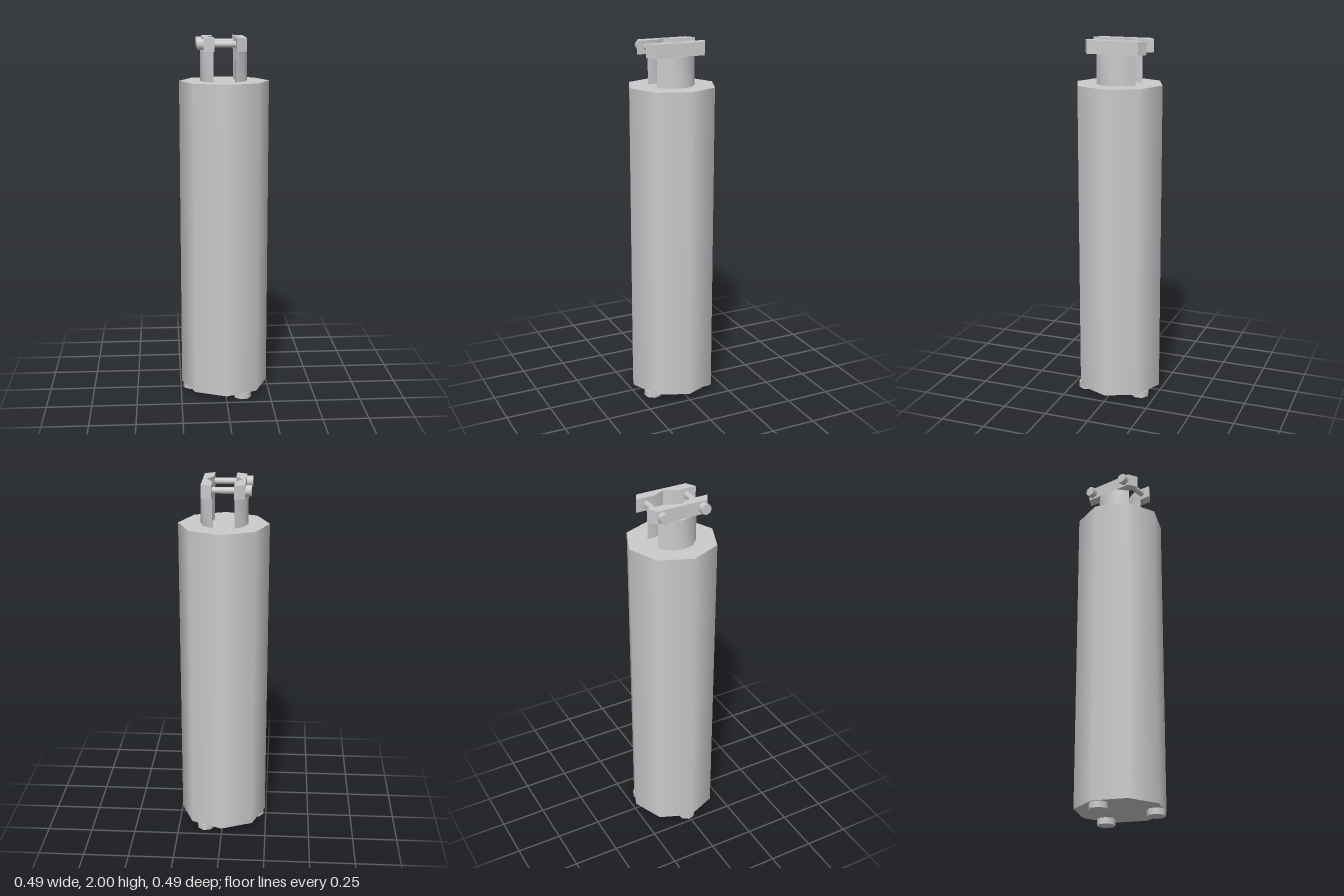
import * as THREE from 'three';
import { toCreasedNormals } from 'three/addons/utils/BufferGeometryUtils.js';

const material = new THREE.MeshStandardMaterial({ color: 0xcccccc });

function addMesh(parent, name, geometry, x = 0, y = 0, z = 0) {
  const mesh = new THREE.Mesh(geometry, material);
  mesh.name = name;
  mesh.position.set(x, y, z);
  parent.add(mesh);
  return mesh;
}

// Extrude an outline in the x-z plane upwards from y = 0
function prism(points, height) {
  const shape = new THREE.Shape(points.map(([x, z]) => new THREE.Vector2(x, -z)));
  const geometry = new THREE.ExtrudeGeometry(shape, { depth: height, bevelEnabled: false });
  geometry.rotateX(-Math.PI / 2);
  return toCreasedNormals(geometry, 0.9);
}

export function createModel() {
  const model = new THREE.Group();
  model.name = 'canisterWithClamp';

  const bodyBottom = 0.034, bodyTop = 1.765, jawBottom = 1.928;

  // Eight-sided body with smooth sides
  addMesh(model, 'body', new THREE.CylinderGeometry(0.244, 0.244, bodyTop - bodyBottom, 8),
    0, (bodyTop + bodyBottom) / 2, 0);

  // Three feet spaced evenly under the body
  for (let i = 0; i < 3; i++) {
    const a = Math.PI / 3 + i * Math.PI * 2 / 3;
    const foot = addMesh(model, 'foot', new THREE.CylinderGeometry(0.05, 0.05, bodyBottom, 8),
      0.187 * Math.cos(a), bodyBottom / 2, 0.187 * Math.sin(a));
    foot.rotation.y = THREE.MathUtils.degToRad(-13);
  }

  // Split clamp: each half has a curved neck shell and a jaw
  const clamp = new THREE.Group();
  clamp.name = 'clamp';
  clamp.position.x = -0.0035;
  model.add(clamp);

  const inner = [[0.0585, -0.068], [0.0935, 0], [0.0585, 0.068]];
  const outer = [60, 30, 0, -30, -60].map((deg) => {
    const a = THREE.MathUtils.degToRad(deg);
    return [0.127 * Math.cos(a), 0.127 * Math.sin(a)];
  });
  outer[0][0] = outer[4][0] = 0.0585;
  const neckGeometry = prism([...inner, ...outer], jawBottom - bodyTop);
  const jawGeometry = prism([...inner, [0.0585, 0.172], [0.1135, 0.142],
    [0.1135, -0.142], [0.0585, -0.172]], 2 - jawBottom);

  for (const side of ['left', 'right']) {
    const half = new THREE.Group();
    half.name = side + 'ClampHalf';
    half.rotation.y = side === 'left' ? 0 : Math.PI;
    addMesh(half, 'neckShell', neckGeometry, 0, bodyTop, 0);
    addMesh(half, 'jaw', jawGeometry, 0, jawBottom, 0);
    clamp.add(half);
  }

  // Two bolts across the jaws, heads on the right side
  for (const z of [-0.113, 0.118]) {
    const bolt = new THREE.Group();
    bolt.name = 'clampBolt';
    bolt.position.set(0, 1.965, z);
    model.add(bolt);
    const shaft = new THREE.CylinderGeometry(0.0175, 0.0175, 0.19, 8).rotateZ(Math.PI / 2);
    addMesh(bolt, 'boltShaft', shaft, -0.02, 0, 0);
    const head = new THREE.CylinderGeometry(0.029, 0.029, 0.034, 8).rotateZ(Math.PI / 2);
    addMesh(bolt, 'boltHead', head, -0.133, 0, 0);
  }

  return model;
}
